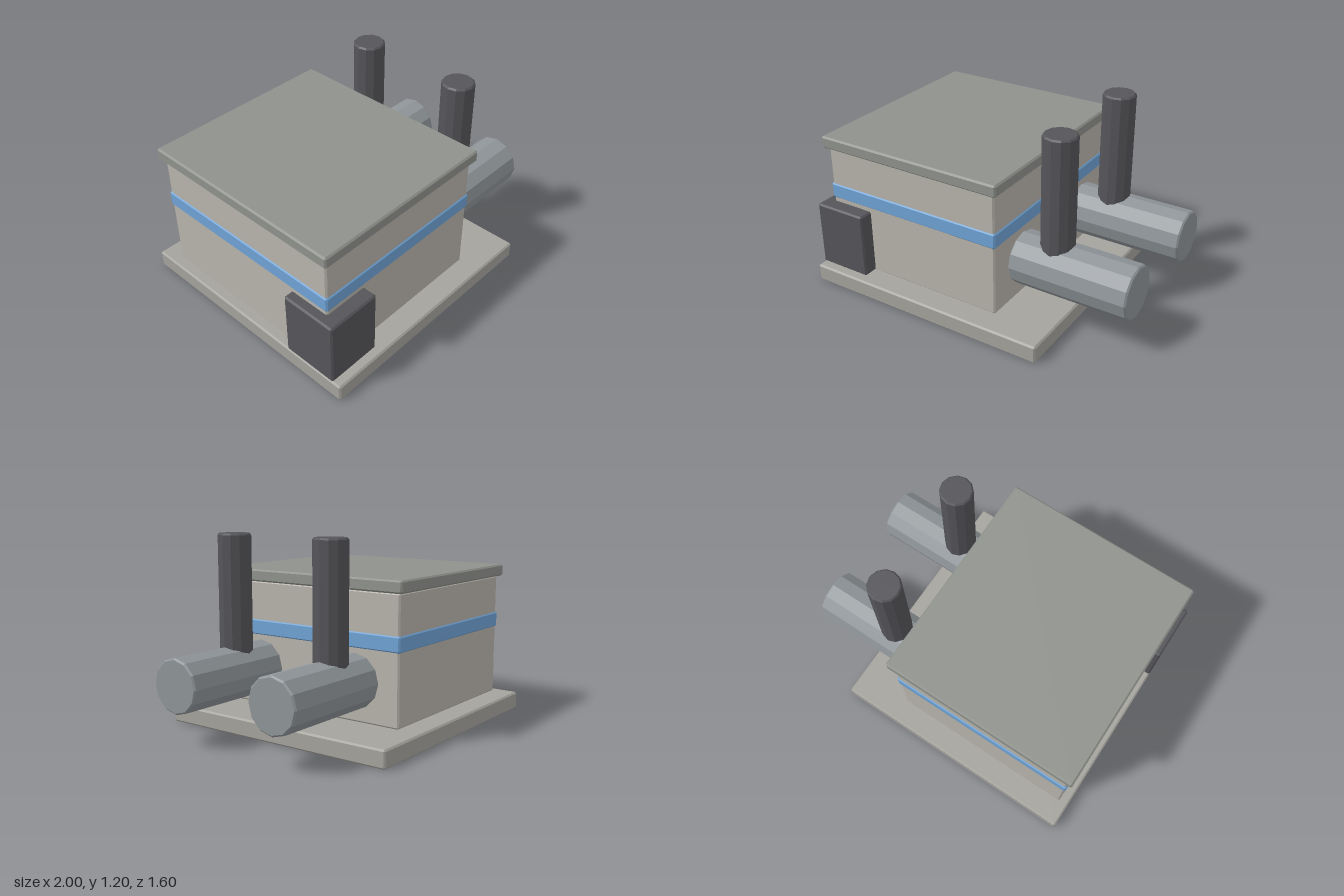
import * as THREE from 'three';
import { ConvexGeometry } from 'three/addons/geometries/ConvexGeometry.js';

const BEVEL = 0.01;

const paint = (color) => new THREE.MeshStandardMaterial({ color, flatShading: true });

// Box with chamfered edges, given by its min and max corners
function chamferBox(name, min, max, material) {
  const half = max.map((v, i) => (v - min[i]) / 2);
  const points = [];
  for (const sx of [-1, 1]) for (const sy of [-1, 1]) for (const sz of [-1, 1]) {
    for (let full = 0; full < 3; full++) {
      const c = half.map((h, i) => (i === full ? h : h - BEVEL));
      points.push(new THREE.Vector3(sx * c[0], sy * c[1], sz * c[2]));
    }
  }
  const mesh = new THREE.Mesh(new ConvexGeometry(points), material);
  mesh.position.set(...max.map((v, i) => (v + min[i]) / 2));
  mesh.name = name;
  return mesh;
}

// Twelve-sided cylinder with chamfered rims, starting at y = 0
function chamferCylinder(name, radius, length, material) {
  const profile = [
    [0, 0], [radius - BEVEL, 0], [radius, BEVEL],
    [radius, length - BEVEL], [radius - BEVEL, length], [0, length],
  ].map(([x, y]) => new THREE.Vector2(x, y));
  const mesh = new THREE.Mesh(new THREE.LatheGeometry(profile, 12), material);
  mesh.name = name;
  return mesh;
}

export function createModel() {
  const model = new THREE.Group();
  model.name = 'plantBuilding';

  const concrete = paint(0xa5a39d);
  const wall = paint(0xb8b4ac);
  const roofing = paint(0x8f928c);
  const blue = paint(0x6fa3d6);
  const dark = paint(0x55555a);
  const steel = paint(0x8f9599);

  // Ground slab, building, stripe and roof
  model.add(
    chamferBox('baseSlab', [-1, 0, -0.8], [0.605, 0.11, 0.8], concrete),
    chamferBox('buildingBody', [-0.94, 0.11, -0.655], [0.25, 0.89, 0.655], wall),
    chamferBox('blueBand', [-0.947, 0.55, -0.662], [0.257, 0.65, 0.662], blue),
    chamferBox('roofSlab', [-0.97, 0.89, -0.685], [0.28, 0.965, 0.685], roofing),
    chamferBox('cornerCabinet', [-1, 0.11, 0.385], [-0.65, 0.525, 0.745], dark),
  );

  // Two horizontal tanks, each with an upright stack
  for (const z of [-0.358, 0.358]) {
    const tank = chamferCylinder('tank', 0.165, 0.75, steel);
    tank.rotation.z = -Math.PI / 2;
    tank.position.set(0.25, 0.36, z);

    const stack = chamferCylinder('stack', 0.102, 0.78, dark);
    stack.position.set(0.49, 0.42, z);
    model.add(tank, stack);
  }

  return model;
}
